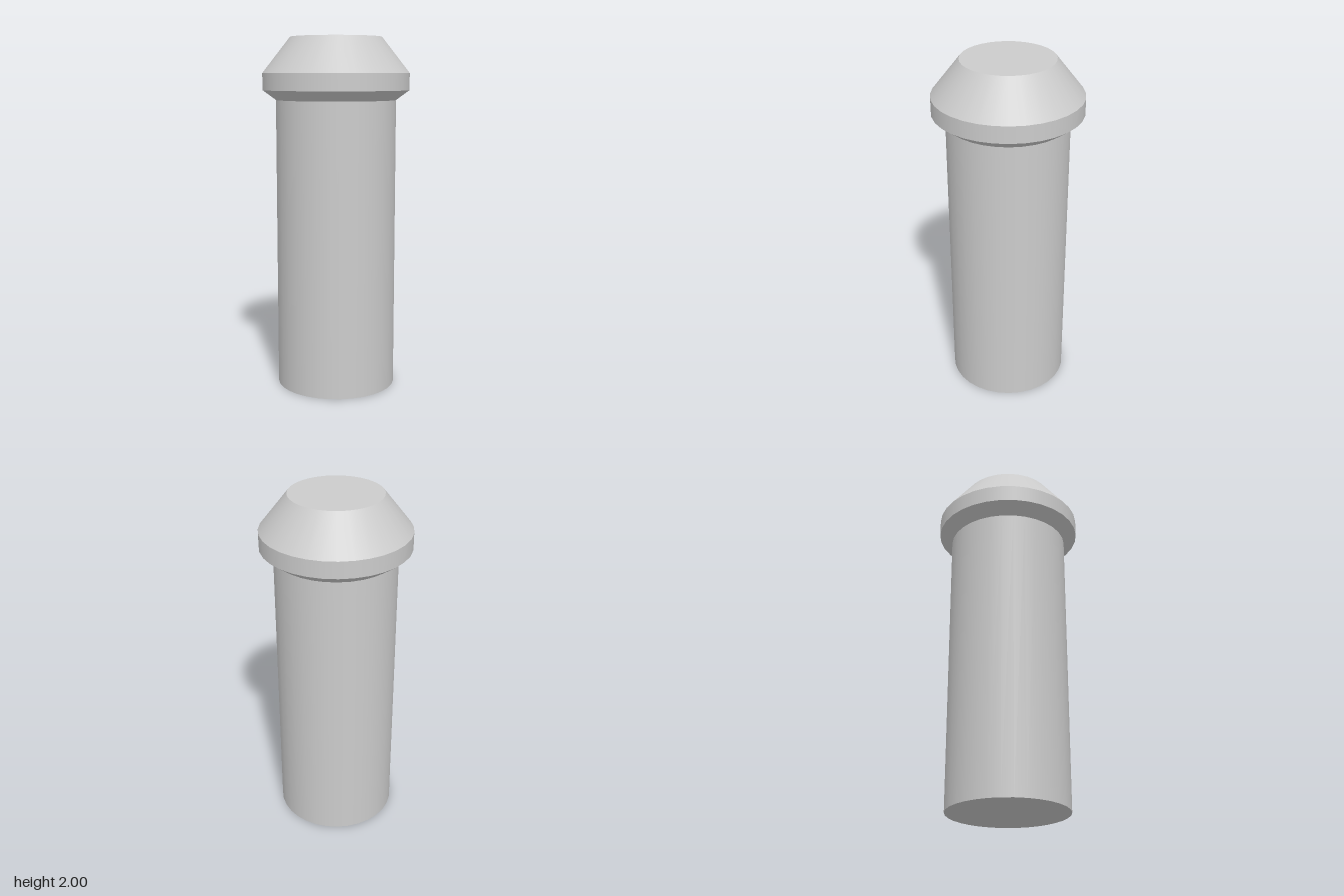
import * as THREE from 'three';

const SIDES = 32;

export function createModel() {
  const group = new THREE.Group();
  group.name = 'post';
  const material = new THREE.MeshStandardMaterial({ color: 0xcccccc });

  const add = (name, geometry, y) => {
    const mesh = new THREE.Mesh(geometry, material);
    mesh.name = name;
    mesh.position.y = y;
    group.add(mesh);
    return mesh;
  };

  // Stacked open bands: name, bottom radius, top radius, bottom y, top y
  const bands = [
    ['shaft', 0.34, 0.34, 0, 1.65],
    ['collarUnderside', 0.34, 0.415, 1.65, 1.705],
    ['collarRim', 0.415, 0.415, 1.705, 1.8],
    ['headBevel', 0.415, 0.258, 1.8, 2],
  ];
  for (const [name, r0, r1, y0, y1] of bands) {
    add(name, new THREE.CylinderGeometry(r1, r0, y1 - y0, SIDES, 1, true), (y0 + y1) / 2);
  }

  // Flat end faces
  add('topFace', new THREE.CircleGeometry(0.258, SIDES).rotateX(-Math.PI / 2), 2);
  add('bottomFace', new THREE.CircleGeometry(0.34, SIDES).rotateX(Math.PI / 2), 0);

  return group;
}
